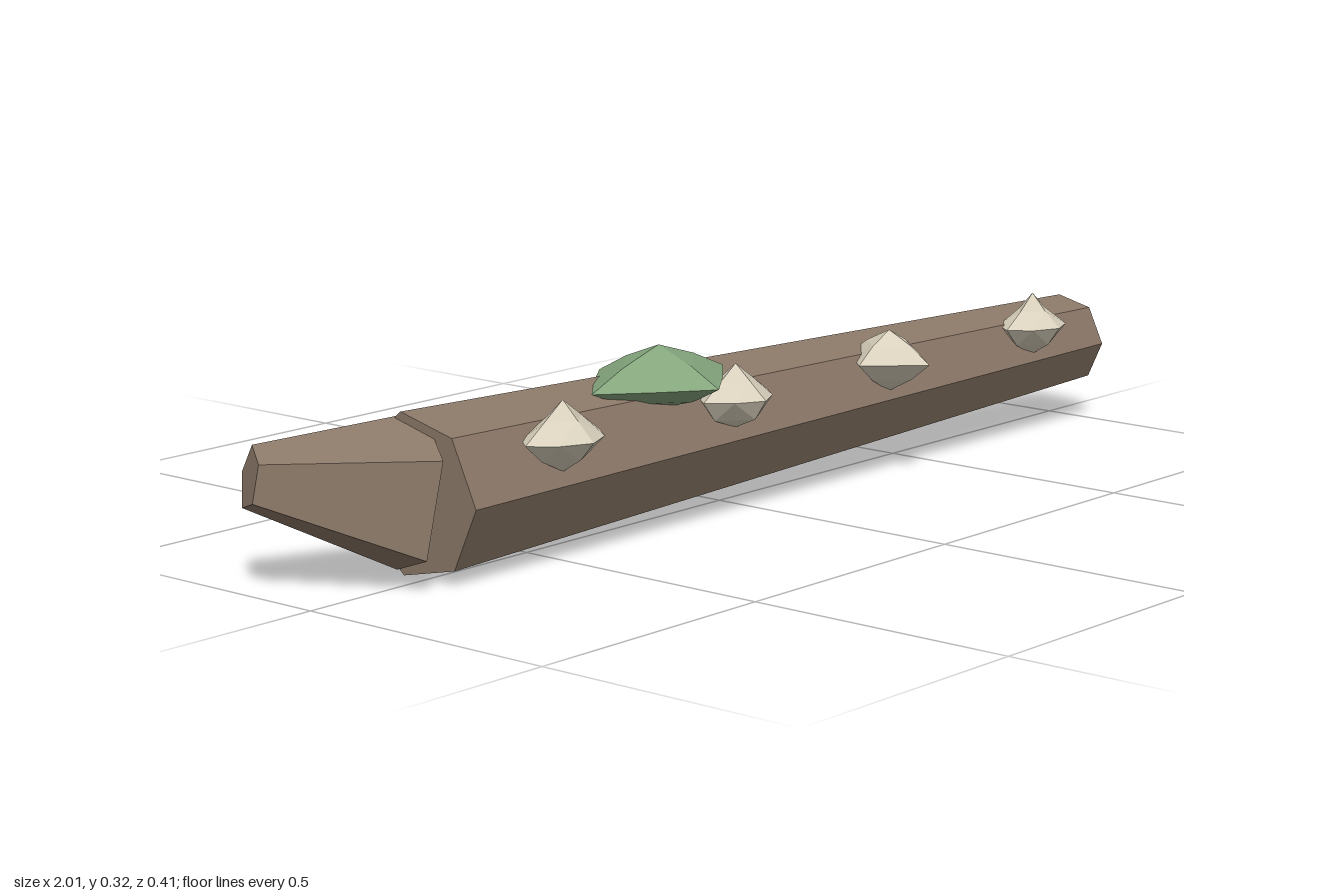
import * as THREE from 'three';

const material = (color) => new THREE.MeshStandardMaterial({ color, flatShading: true });

// Tapered prism between two points; one corner line faces the given direction
function limb(name, from, to, r0, r1, sides, corner, mat) {
  const a = new THREE.Vector3(...from);
  const b = new THREE.Vector3(...to);
  const axis = b.clone().sub(a);
  const geo = new THREE.CylinderGeometry(r1, r0, axis.length(), sides);
  const y = axis.normalize();
  const x = y.clone().cross(new THREE.Vector3(...corner)).normalize();
  const z = x.clone().cross(y);
  const m = new THREE.Matrix4().makeBasis(x, y, z).setPosition(a.add(b).multiplyScalar(0.5));
  geo.applyMatrix4(m);
  const mesh = new THREE.Mesh(geo, mat);
  mesh.name = name;
  return mesh;
}

// Faceted lump: six tips on the axes, edge midpoints pushed out by a factor
function lump(name, position, { rx, up, down, rz }, [top, rim, under], mat) {
  const geo = new THREE.OctahedronGeometry(1, 1);
  const p = geo.attributes.position;
  for (let i = 0; i < p.count; i++) {
    const v = new THREE.Vector3().fromBufferAttribute(p, i);
    const isTip = Math.max(Math.abs(v.x), Math.abs(v.y), Math.abs(v.z)) > 0.9;
    if (!isTip) {
      const f = v.y > 0.1 ? top : v.y < -0.1 ? under : rim;
      v.multiplyScalar(f * Math.SQRT1_2);
    }
    p.setXYZ(i, v.x * rx, v.y * (v.y > 0 ? up : down), v.z * rz);
  }
  geo.computeVertexNormals();
  const mesh = new THREE.Mesh(geo, mat);
  mesh.name = name;
  mesh.position.set(...position);
  return mesh;
}

export function createModel() {
  const model = new THREE.Group();
  model.name = 'fallenLog';
  const bark = material(0x8b7868);
  const moss = material(0x85a67d);
  const cream = material(0xd8d0bc);

  // Trunk and the broken branch at its thick end
  model.add(limb('trunk', [-0.745, 0.14, -0.016], [0.997, 0.154, 0.04], 0.141, 0.086, 7, [0, 0, 1], bark));
  model.add(limb('branchStub', [-0.74, 0.14, -0.018], [-0.978, 0.19, -0.158], 0.141, 0.055, 5, [0.507, 0, -0.862], bark));

  // Moss patch on top
  model.add(lump('mossPatch', [-0.22, 0.262, 0.05], { rx: 0.17, up: 0.061, down: 0.05, rz: 0.136 }, [1.08, 1.03, 1.15], moss));

  // Row of mushrooms along the front
  const mushrooms = [
    [-0.53, { rx: 0.09, up: 0.064, down: 0.057, rz: 0.068 }, [1.0, 1.25, 1.15]],
    [-0.09, { rx: 0.085, up: 0.058, down: 0.055, rz: 0.068 }, [1.0, 1.2, 1.3]],
    [0.34, { rx: 0.087, up: 0.054, down: 0.059, rz: 0.092 }, [1.1, 1.0, 1.1]],
    [0.78, { rx: 0.08, up: 0.061, down: 0.057, rz: 0.063 }, [0.95, 1.3, 1.2]],
  ];
  mushrooms.forEach(([x, size, bulge], i) => {
    model.add(lump(`mushroom${i + 1}`, [x, 0.221, 0.113], size, bulge, cream));
  });
  return model;
}
